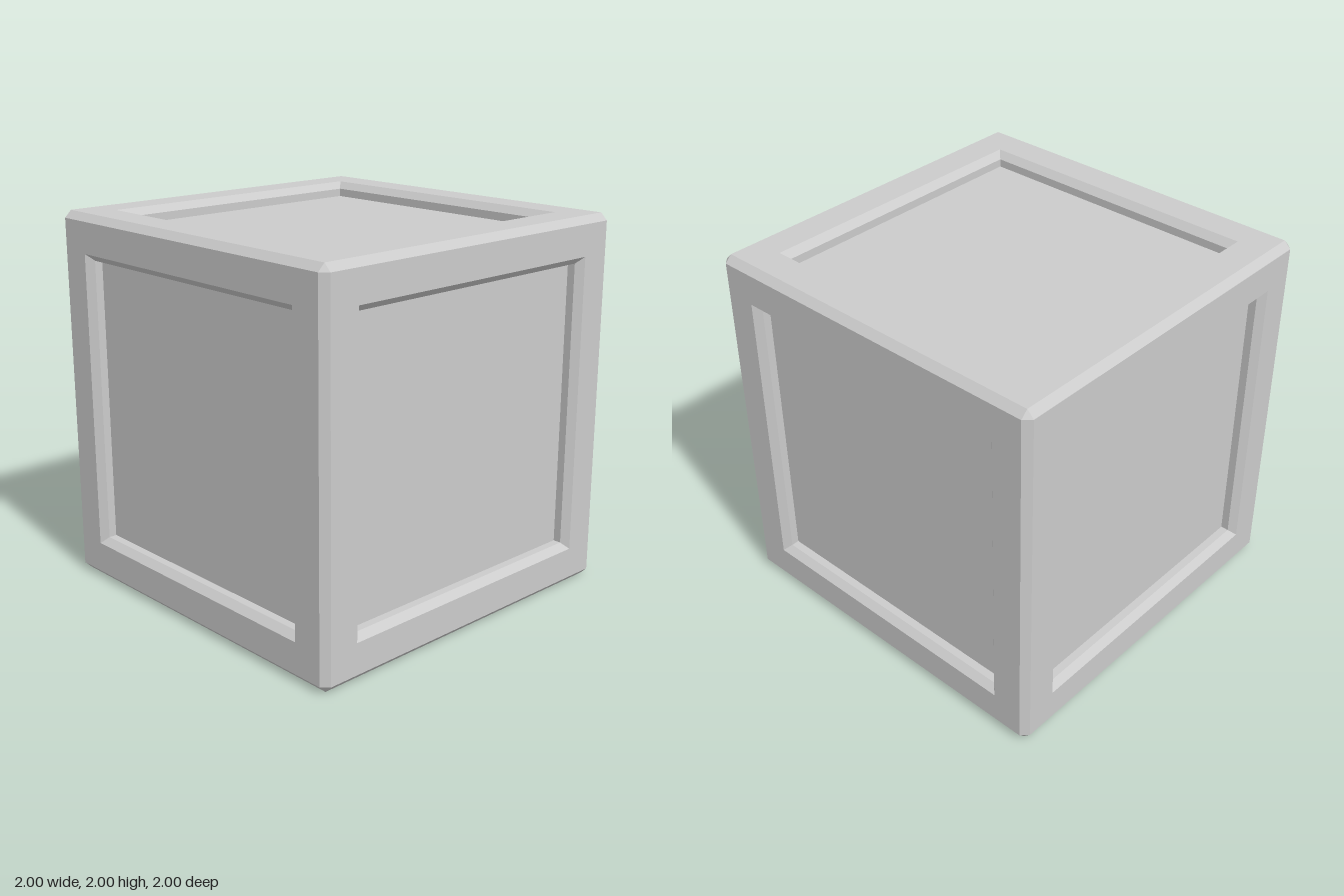
import * as THREE from 'three';

const HALF = 1;          // half the side of the cube
const BEVEL = 0.037;     // chamfer on the outer edges
const FLAT = HALF - BEVEL;
const OPENING = 0.797;   // half width of the panel opening
const PANEL = 0.762;     // half width of the recessed panel
const DEPTH = 0.08;      // how far the panel is sunk

export function createModel() {
  const crate = new THREE.Group();
  crate.name = 'crate';
  const body = new THREE.Group();
  body.name = 'body';
  body.position.y = HALF;
  crate.add(body);
  const material = new THREE.MeshStandardMaterial({ color: 0xcccccc, flatShading: true });

  const add = (name, geometry) => {
    const mesh = new THREE.Mesh(geometry, material);
    mesh.name = name;
    body.add(mesh);
    return mesh;
  };

  // One side: flat frame, bevelled lip, straight wall and sunken panel as a four-sided lathe
  const profile = [
    [FLAT, HALF], [OPENING, HALF], [PANEL, HALF - BEVEL], [PANEL, HALF - DEPTH], [0, HALF - DEPTH],
  ].map(([half, y]) => new THREE.Vector2(half * Math.SQRT2, y));
  const side = new THREE.LatheGeometry(profile, 4).rotateY(Math.PI / 4);
  const q = Math.PI / 2;
  const sides = {
    top: [0, 0], bottom: [2 * q, 0], front: [q, 0], back: [-q, 0], left: [0, -q], right: [0, q],
  };
  for (const [name, [rx, rz]] of Object.entries(sides)) {
    add(name + 'Panel', side).rotation.set(rx, 0, rz);
  }

  // Chamfer strips along the twelve edges, four around each axis
  const mid = (HALF + FLAT) / 2;
  for (const [rx, rz] of [[0, 0], [q, 0], [0, q]]) {
    for (let k = 0; k < 4; k++) {
      const strip = new THREE.PlaneGeometry(BEVEL * Math.SQRT2, 2 * FLAT)
        .translate(0, 0, mid * Math.SQRT2)
        .rotateY(Math.PI / 4 + k * q);
      add('edgeChamfer', strip).rotation.set(rx, 0, rz);
    }
  }

  // Small triangles closing the eight corners
  for (const x of [-1, 1]) for (const y of [-1, 1]) for (const z of [-1, 1]) {
    const corners = [[HALF, FLAT, FLAT], [FLAT, HALF, FLAT], [FLAT, FLAT, HALF]]
      .map(([a, b, c]) => new THREE.Vector3(a * x, b * y, c * z));
    if (x * y * z < 0) corners.reverse();
    const triangle = new THREE.BufferGeometry().setFromPoints(corners);
    triangle.computeVertexNormals();
    add('cornerChamfer', triangle);
  }

  return crate;
}
